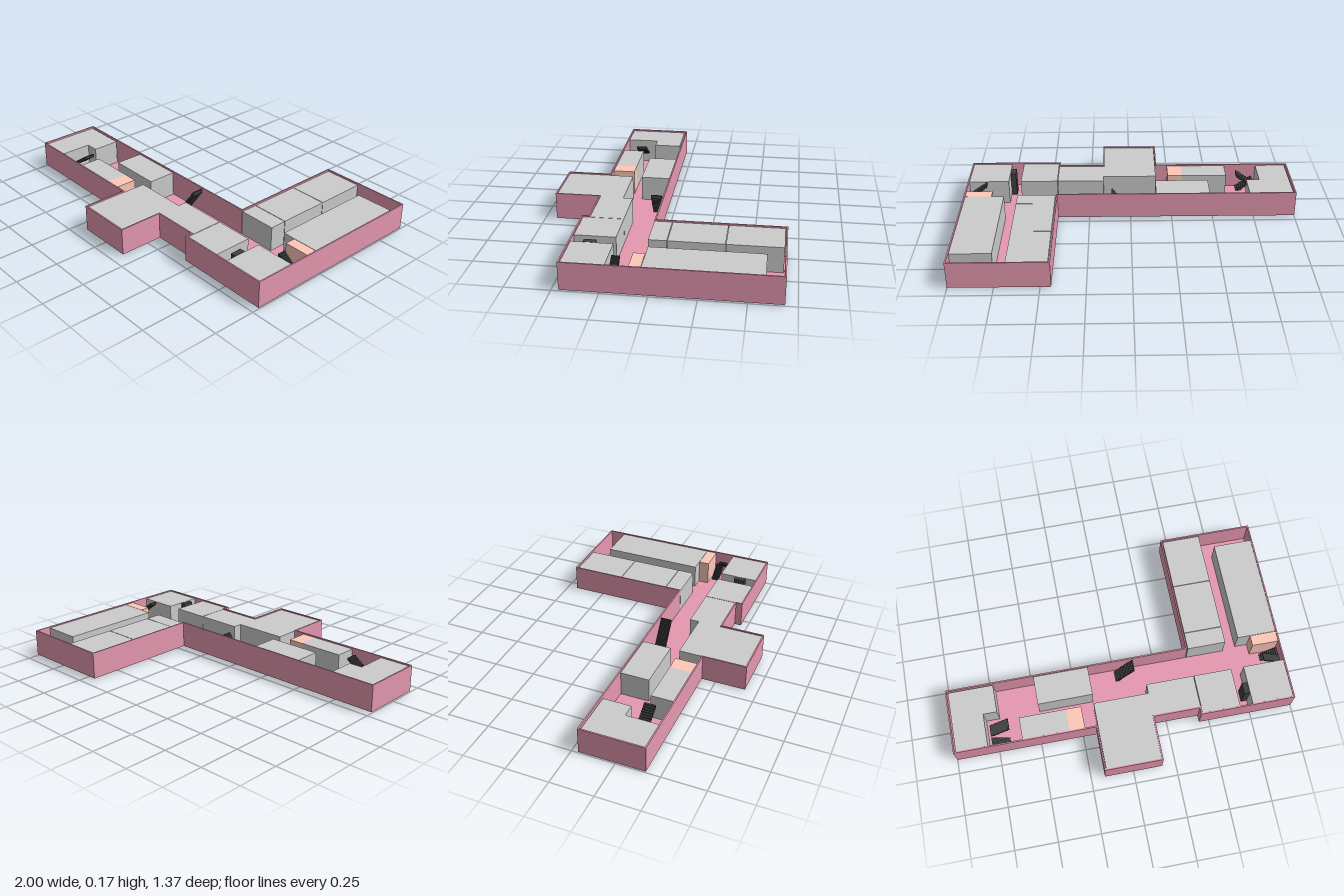
import * as THREE from 'three';

const mat = (color) => new THREE.MeshStandardMaterial({ color, flatShading: true });
const WALL_TOP = 0.165, FLOOR = 0.007, ROOM_BASE = 0.003, ROOM_TOP = 0.158;

// Building outline as [x, z] corners
const outline = [
  [-1, 0.42], [-0.17, 0.42], [-0.17, 0.68], [0.17, 0.68], [0.17, 0.42], [0.44, 0.42],
  [0.44, 0.46], [1, 0.46], [1, -0.685], [0.44, -0.685], [0.44, 0.04], [-1, 0.04],
];

// Moves every corner inwards by t
function inset(points, t) {
  const n = points.length;
  const inward = (a, b) => {
    const dx = b[0] - a[0], dz = b[1] - a[1], l = Math.hypot(dx, dz);
    return [dz / l, -dx / l];
  };
  return points.map((p, i) => {
    const a = inward(points[(i + n - 1) % n], p), b = inward(p, points[(i + 1) % n]);
    return [p[0] + t * (a[0] + b[0]), p[1] + t * (a[1] + b[1])];
  });
}

const toVectors = (points) => points.map(([x, z]) => new THREE.Vector2(x, -z));

// Upright prism over a plan, from y0 to y1, with an optional hole
function prism(name, points, y0, y1, material, hole) {
  const shape = new THREE.Shape(toVectors(points));
  if (hole) shape.holes.push(new THREE.Path(toVectors(hole)));
  const geo = new THREE.ExtrudeGeometry(shape, { depth: y1 - y0, bevelEnabled: false });
  geo.rotateX(-Math.PI / 2).translate(0, y0, 0);
  const mesh = new THREE.Mesh(geo, material);
  mesh.name = name;
  return mesh;
}

// Box given by its limits
function block(name, x0, x1, y0, y1, z0, z1, material) {
  const geo = new THREE.BoxGeometry(x1 - x0, y1 - y0, z1 - z0);
  const mesh = new THREE.Mesh(geo, material);
  mesh.position.set((x0 + x1) / 2, (y0 + y1) / 2, (z0 + z1) / 2);
  mesh.name = name;
  return mesh;
}

// Flight of steps climbing from x0,y0 to x1,y1
function flight(name, x0, x1, y0, y1, z0, z1, material, steps = 10) {
  const group = new THREE.Group();
  group.name = name;
  const run = (x1 - x0) / steps, rise = (y1 - y0) / steps;
  for (let i = 0; i < steps; i++) {
    const a = x0 + run * i, b = a + run;
    const bottom = Math.max(y0, y0 + rise * (i - 1));
    group.add(block('step', Math.min(a, b), Math.max(a, b), bottom, y0 + rise * (i + 1), z0, z1, material));
  }
  return group;
}

export function createModel() {
  const model = new THREE.Group();
  model.name = 'floorOfBuilding';
  const pink = mat(0xe598b0), grey = mat(0xcccccc), peach = mat(0xfdc9b8), dark = mat(0x404040);

  // Outer shell
  model.add(prism('floor', outline, FLOOR, FLOOR + 0.003, pink));
  model.add(prism('outerWall', outline, FLOOR, WALL_TOP, pink, inset(outline, 0.008)));

  // Corner room with an L-shaped plan
  model.add(prism('cornerRoom', [
    [-0.985, 0.41], [-0.8, 0.41], [-0.8, 0.22], [-0.72, 0.22], [-0.72, 0.055], [-0.985, 0.055],
  ], ROOM_BASE, ROOM_TOP, grey));

  // Rectangular rooms: x0, x1, z0, z1
  const rooms = {
    backRoom: [-0.48, -0.155, 0.05, 0.22],
    frontRoom: [-0.6, -0.325, 0.28, 0.41],
    hall: [-0.16, 0.165, 0.275, 0.672],
    hallSideRoom: [0.165, 0.447, 0.22, 0.412],
    middleRoom: [0.45, 0.675, 0.22, 0.45],
    endRoom: [0.75, 0.992, 0.22, 0.45],
    wingRoomSmall: [0.452, 0.68, -0.052, 0.048],
    wingRoomMiddle: [0.452, 0.68, -0.362, -0.055],
    wingRoomFar: [0.452, 0.68, -0.672, -0.365],
    wingRoomLarge: [0.76, 0.992, -0.585, 0.035],
  };
  for (const [name, [x0, x1, z0, z1]] of Object.entries(rooms))
    model.add(block(name, x0, x1, ROOM_BASE, ROOM_TOP, z0, z1, grey));

  // Washrooms
  model.add(block('frontWashroom', -0.325, -0.235, ROOM_BASE, ROOM_TOP, 0.28, 0.41, peach));
  model.add(block('wingWashroom', 0.835, 0.992, ROOM_BASE, ROOM_TOP, 0.037, 0.1, peach));

  // Stairs: one straight flight and two that turn back at half height
  const top = 0.16, half = 0.08;
  model.add(flight('straightStair', 0, 0.115, 0, top, 0.055, 0.12, dark, 14));
  model.add(flight('stairLowerFlight', -0.665, -0.78, 0, half, 0.345, 0.41, dark));
  model.add(flight('stairUpperFlight', -0.78, -0.665, half, top, 0.272, 0.338, dark));
  model.add(flight('wingStairLowerFlight', 0.88, 0.99, 0, half, 0.11, 0.155, dark));
  model.add(flight('wingStairUpperFlight', 0.99, 0.88, half, top, 0.16, 0.205, dark));

  // Lift shaft beside the end room
  model.add(block('liftShaft', 0.715, 0.748, 0, ROOM_TOP, 0.318, 0.385, dark));

  return model;
}
